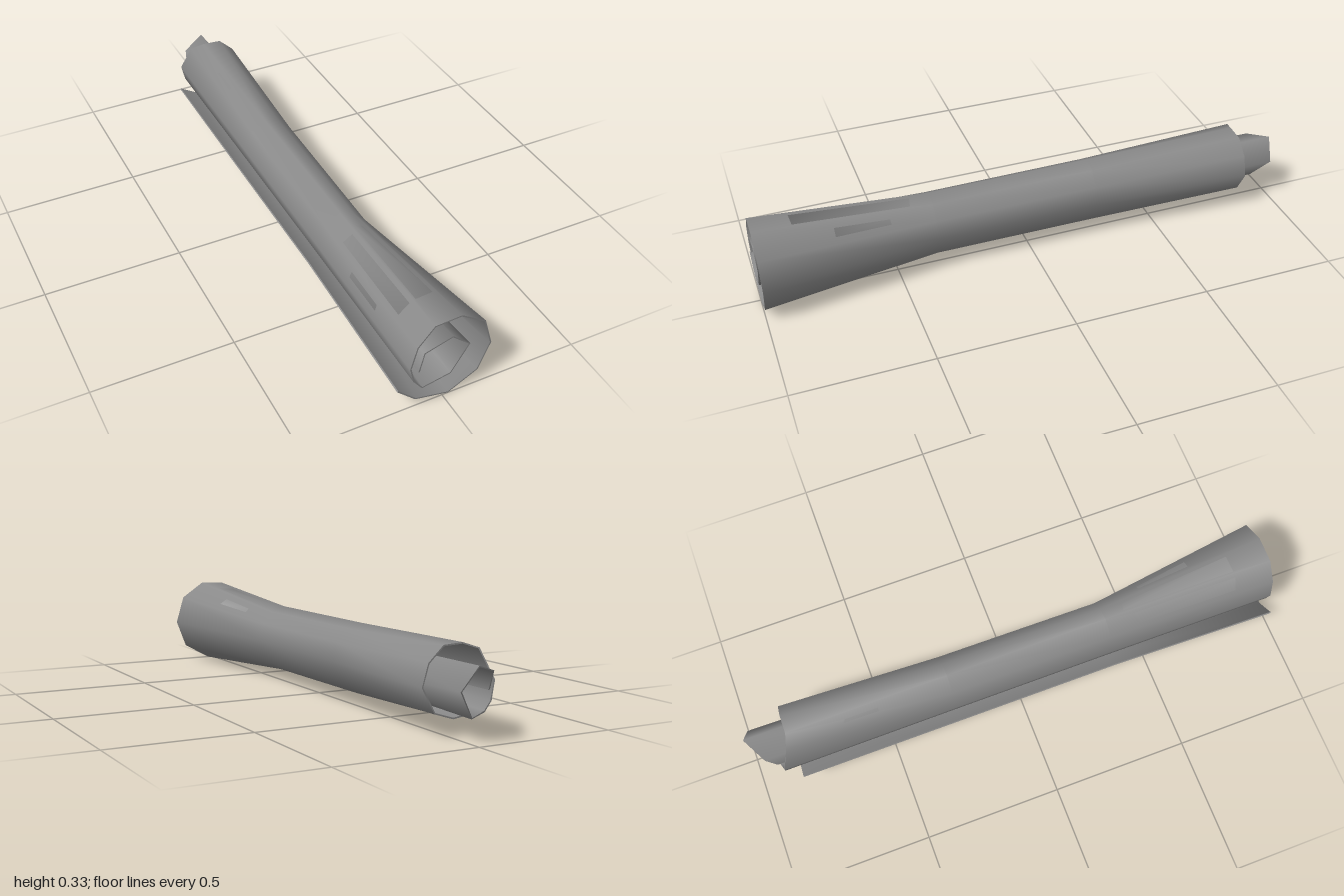
import * as THREE from 'three';

const THICKNESS = 0.005;

// Each section follows the curled sheet from its loose outer flap to its innermost edge, as [x, y].
const mouth = [[-0.168, 0.095], [-0.1, 0.03], [0.022, 0.002], [0.127, 0.06], [0.167, 0.165], [0.135, 0.272],
  [0.045, 0.333], [-0.05, 0.328], [-0.107, 0.26], [-0.127, 0.175], [-0.112, 0.115], [-0.078, 0.07],
  [0.025, 0.09], [0.087, 0.195], [0.02, 0.255], [-0.08, 0.225], [-0.096, 0.15]];
const waist = [[-0.154, 0.1], [-0.095, 0.052], [-0.02, 0.036], [0.037, 0.068], [0.077, 0.16], [0.06, 0.224],
  [0.015, 0.268], [-0.036, 0.287], [-0.095, 0.25], [-0.125, 0.178], [-0.11, 0.115], [-0.072, 0.092],
  [-0.008, 0.093], [0.052, 0.15], [0.005, 0.242], [-0.08, 0.22], [-0.093, 0.15]];
const tail = [[-0.155, 0.105], [-0.095, 0.07], [-0.01, 0.058], [0.06, 0.08], [0.107, 0.165], [0.085, 0.24],
  [0.03, 0.292], [-0.04, 0.296], [-0.092, 0.278], [-0.128, 0.18], [-0.112, 0.115], [-0.08, 0.085],
  [-0.01, 0.075], [0.06, 0.17], [0.005, 0.248], [-0.085, 0.22], [-0.094, 0.155]];

// The back edge is slanted, so the inner turns stick out past the outer one.
const tailZ = [-0.85, -0.85, -0.85, -0.85, -0.85, -0.85, -0.85, -0.85, -0.866,
  -0.9, -0.905, -0.915, -0.945, -0.985, -1, -0.952, -0.92];

function mix(a, b, t) {
  return a.map((p, i) => [p[0] + (b[i][0] - p[0]) * t, p[1] + (b[i][1] - p[1]) * t]);
}

function section(points, z) {
  return points.map(([x, y], i) => new THREE.Vector3(x, y, Array.isArray(z) ? z[i] : z));
}

// Move a section towards the inside of the curl
function inset(row) {
  return row.map((p, i) => {
    const a = row[Math.max(i - 1, 0)];
    const b = row[Math.min(i + 1, row.length - 1)];
    const inward = new THREE.Vector3(a.y - b.y, b.x - a.x, 0).setLength(THICKNESS);
    return inward.add(p);
  });
}

// Skin a ribbon through rows of points
function skin(rows) {
  const n = rows[0].length;
  const index = [];
  for (let row = 1; row < rows.length; row++) {
    for (let i = 1; i < n; i++) {
      const d = row * n + i, c = d - 1, b = d - n, a = b - 1;
      index.push(a, c, b, b, c, d);
    }
  }
  const geometry = new THREE.BufferGeometry().setFromPoints(rows.flat());
  geometry.setIndex(index);
  geometry.computeVertexNormals();
  return geometry;
}

// Round the shading of the inner face over the front rim, which is its last row
function softenFrontRim(geometry, rowLength) {
  const normals = geometry.attributes.normal;
  const v = new THREE.Vector3();
  for (let i = normals.count - rowLength; i < normals.count; i++) {
    v.fromBufferAttribute(normals, i);
    v.z += 1;
    v.normalize();
    normals.setXYZ(i, v.x, v.y, v.z);
  }
  return geometry;
}

export function createModel() {
  const group = new THREE.Group();
  group.name = 'rolledScroll';
  const material = new THREE.MeshStandardMaterial({ color: 0x8a8a8a, side: THREE.DoubleSide });
  const add = (name, geometry) => {
    const mesh = new THREE.Mesh(geometry, material);
    mesh.name = name;
    group.add(mesh);
  };

  // Flared at the front, narrow in the middle
  const outer = [
    section(mouth, 1),
    section(waist, 0.36),
    section(mix(waist, tail, 0.15), -0.25),
    section(tail, tailZ),
  ];
  const inner = outer.map(inset);
  const last = mouth.length - 1;
  const column = (rows, i) => rows.map((row) => row[i]);

  // Two faces of the sheet
  add('outerFace', skin(outer));
  add('innerFace', softenFrontRim(skin([...inner].reverse()), mouth.length));

  // Narrow edges closing the sheet
  add('frontEdge', skin([inner[0], outer[0]]));
  add('backEdge', skin([outer[3], inner[3]]));
  add('flapEdge', skin([column(outer, 0), column(inner, 0)]));
  add('coreEdge', skin([column(inner, last), column(outer, last)]));
  return group;
}
